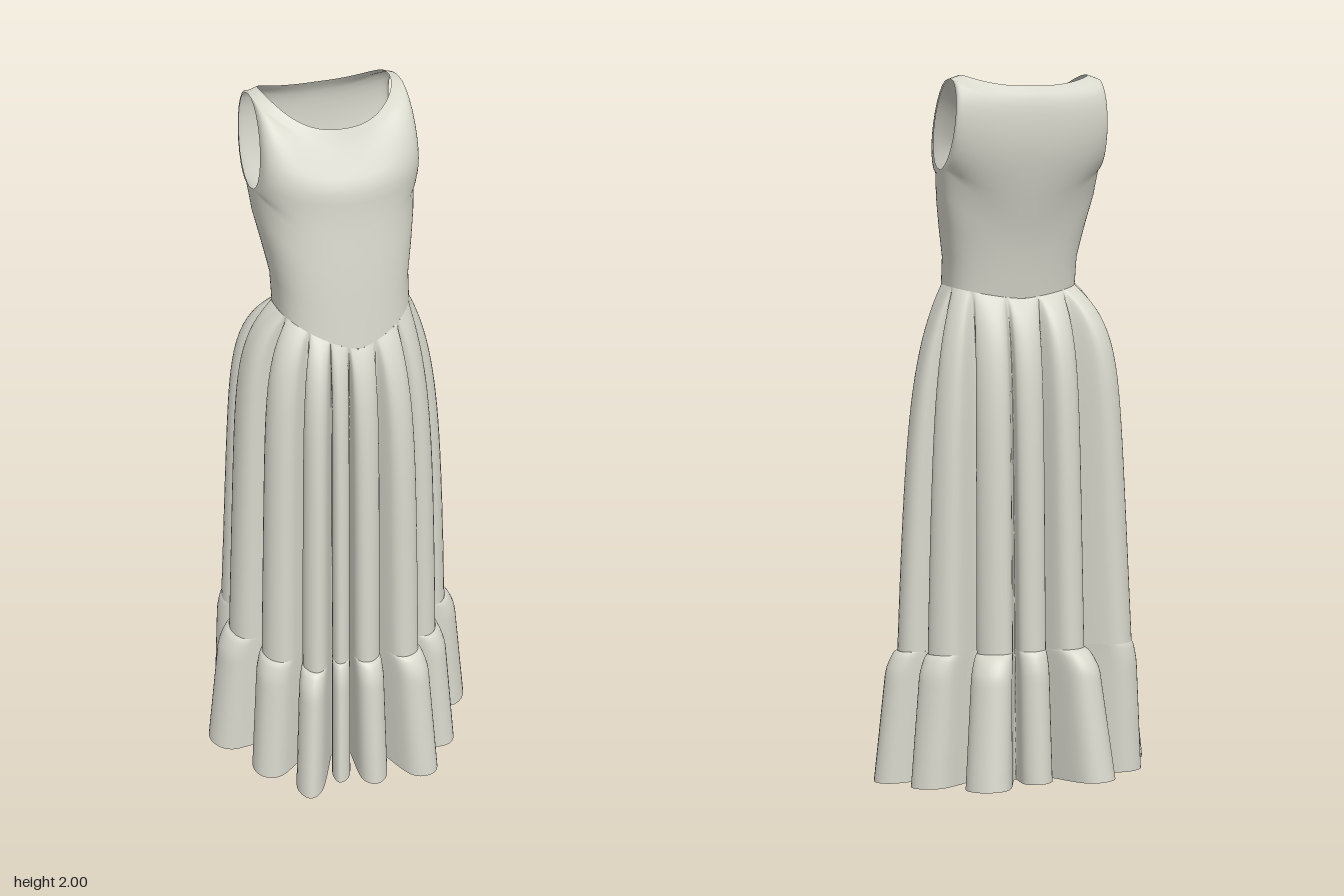
import * as THREE from 'three';

const fabric = new THREE.MeshStandardMaterial({ color: 0xd8d7cc, side: THREE.DoubleSide });
fabric.name = 'ivory cloth';

// Smooth sheet from a rule (u across, v upward)
function sheet(name, nu, nv, rule) {
  const pos = [], idx = [];
  for (let j = 0; j <= nv; j++)
    for (let i = 0; i <= nu; i++) {
      pos.push(...rule(i / nu, j / nv));
      if (i < nu && j < nv) {
        const a = j * (nu + 1) + i, c = a + nu + 1;
        idx.push(a, a + 1, c, a + 1, c + 1, c);
      }
    }
  const g = new THREE.BufferGeometry();
  g.setAttribute('position', new THREE.Float32BufferAttribute(pos, 3));
  g.setIndex(idx);
  g.computeVertexNormals();
  const m = new THREE.Mesh(g, fabric);
  m.name = name;
  return m;
}

const lerp = THREE.MathUtils.lerp;

// Side edge of a bodice panel: side seam, half the armhole, shoulder seam
function sideEdge(dir) {
  const pts = [[0.182, 1.43, 0.03], [0.183, 1.51, 0.015], [0.2, 1.6, -0.015],
    [0.215, 1.68, -0.05], [0.222, 1.75, -0.07]];
  const n = 12;
  for (let i = 1; i <= n; i++) {
    const a = (i / n) * Math.PI, h = (1 - Math.cos(a)) / 2;
    pts.push([lerp(0.222, 0.207, h), lerp(1.75, 1.99, h),
      lerp(-0.06, -0.11, h) + dir * 0.088 * Math.sin(a)]);
  }
  pts.push([0.178, 2.0, -0.112]);
  return pts;
}

// Centre lines as (y, z), from waist to neckline; power sets how boxy the panel is
const centreLine = (list) => new THREE.CatmullRomCurve3(list.map(([y, z]) => new THREE.Vector3(0, y, z)));
const front = {
  edge: sideEdge(1), power: [0.8, 0.8],
  centre: centreLine([[1.345, 0.168], [1.53, 0.148], [1.7, 0.125], [1.78, 0.118], [1.83, 0.09], [1.88, 0.06], [1.92, 0.04]]),
};
const back = {
  edge: sideEdge(-1), power: [0.5, 0.75],
  centre: centreLine([[1.4, -0.105], [1.55, -0.13], [1.71, -0.175], [1.8, -0.195], [1.88, -0.2], [1.94, -0.193], [1.972, -0.175]]),
};
const ROWS = front.edge.length - 1;

function bodicePoint(panel, angle, v) {
  const [ex, ey, ez] = panel.edge[Math.round(v * ROWS)];
  const c = panel.centre.getPoint(v), s = Math.sin(angle);
  const bulge = Math.pow(Math.abs(Math.cos(angle)), lerp(...panel.power, v ** 4));
  const rise = Math.pow(Math.abs(s), lerp(1.4, 2.6, v));
  return [ex * s, lerp(c.y, ey, rise), lerp(ez, c.z, bulge)];
}
const waist = (angle) => bodicePoint(Math.cos(angle) >= 0 ? front : back, angle, 0);

// Fold tips at the hem as (x, z), then their share of that radius at the gather
const tips = [[-0.18, -0.325, 0.7], [-0.32, -0.2, 0.92], [-0.4, -0.01, 0.82], [-0.31, 0.18, 0.85],
  [-0.2, 0.315, 0.79], [-0.1, 0.28, 0.83], [0, 0.318, 0.79], [0.18, 0.325, 0.78], [0.28, 0.22, 0.82],
  [0.4, 0.0, 0.82], [0.33, -0.13, 0.82], [0.17, -0.3, 0.7], [0, -0.27, 0.8]];
const folds = tips.map(([x, z, share], i) => ({
  a: i === tips.length - 1 ? Math.PI : Math.atan2(x, z), r: Math.hypot(x, z), share,
}));

// Outline through all folds; each point holds x, the angle at the waist, and z
function foldCurve(radius, valley, width, shoulder) {
  const n = folds.length, pts = [];
  const add = (a, r) => pts.push(new THREE.Vector3(r * Math.sin(a), a, r * Math.cos(a)));
  folds.forEach((f, i) => {
    const p = folds[(i + n - 1) % n], q = folds[(i + 1) % n], r = radius(f);
    const before = f.a - p.a + (i === 0 ? 2 * Math.PI : 0);
    const after = q.a - f.a + (i === n - 1 ? 2 * Math.PI : 0);
    add(f.a - before / 2, valley * (radius(p) + r) / 2);
    add(f.a - before * width, r * shoulder);
    add(f.a, r);
    add(f.a + after * width, r * shoulder);
  });
  const first = pts[0].clone();
  first.y += 2 * Math.PI;
  pts.push(first);
  return new THREE.CatmullRomCurve3(pts);
}
const hem = foldCurve((f) => f.r, 0.55, 0.34, 0.89);
const gather = foldCurve((f) => f.r * f.share, 0.66, 0.38, 0.9);
const gatherHeight = (z) => 0.415 - 0.11 * z;

// Long gathered skirt, fuller on its right hip
function skirtPoint(u, v) {
  const c = gather.getPoint(u), w = waist(c.y);
  const drop = (1 - v) ** 2;
  const spread = 0.7 * (1 - Math.exp(-drop * (8.5 - 10 * c.x))) + 0.3 * drop;
  return [lerp(w[0], c.x, spread), lerp(w[1], gatherHeight(c.z), drop), lerp(w[2], c.z, spread)];
}

// Flared flounce, higher at the back
function flouncePoint(u, v) {
  const g = gather.getPoint(u), c = hem.getPoint(u);
  const drop = (1 - v) ** 1.5;
  const flare = 0.4 * Math.sqrt(Math.min(1, drop / 0.15)) + 0.6 * drop;
  return [lerp(g.x, c.x, flare), lerp(gatherHeight(g.z), 0.042 - 0.125 * c.z, drop), lerp(g.z, c.z, flare)];
}

export function createModel() {
  const dress = new THREE.Group();
  dress.name = 'dress';
  dress.add(
    sheet('bodiceFront', 40, ROWS, (u, v) => bodicePoint(front, (u - 0.5) * Math.PI, v)),
    sheet('bodiceBack', 40, ROWS, (u, v) => bodicePoint(back, (u + 0.5) * Math.PI, v)),
    sheet('skirt', folds.length * 24, 28, skirtPoint),
    sheet('flounce', folds.length * 24, 16, flouncePoint),
  );
  return dress;
}
